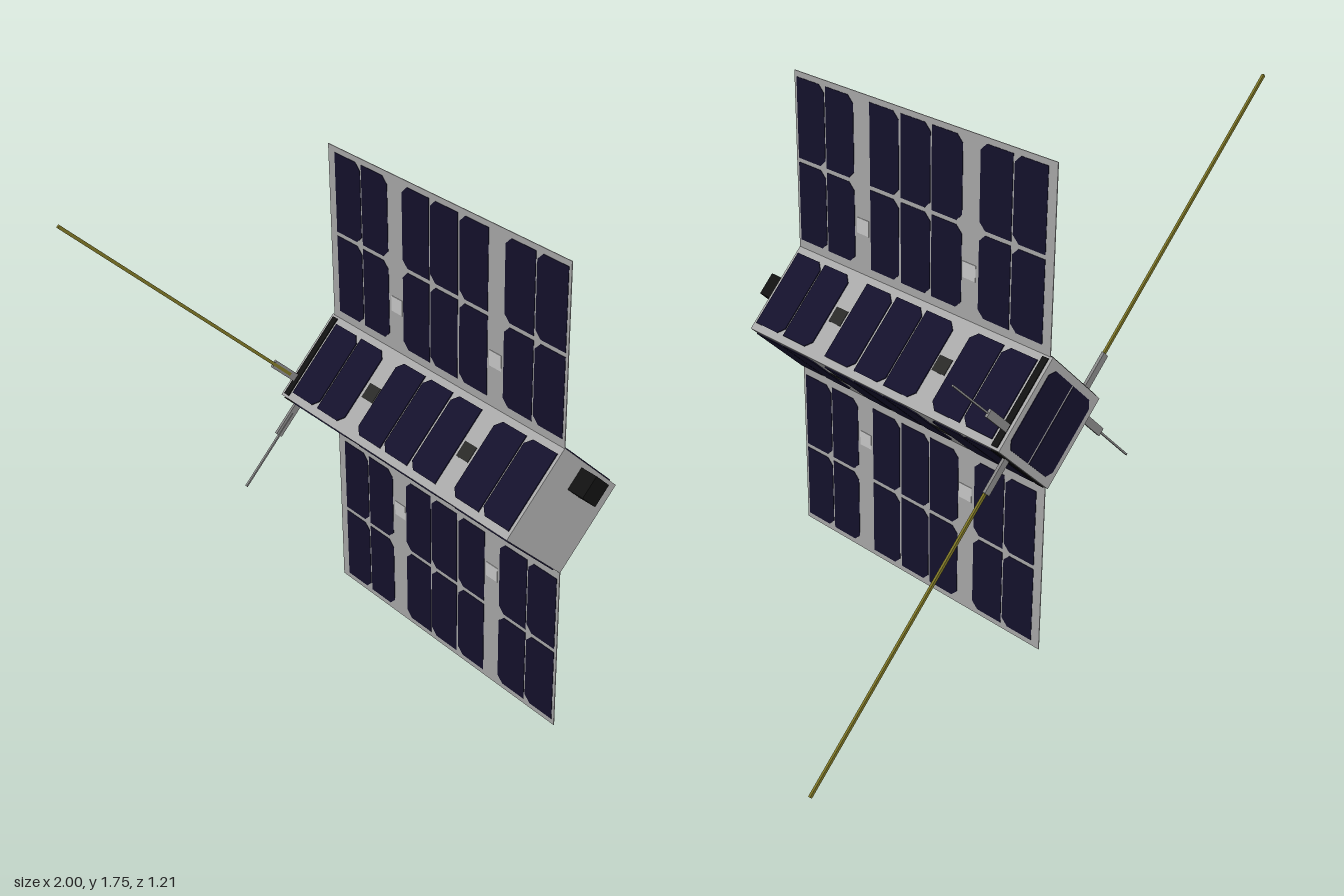
import * as THREE from 'three';

const HALF = 0.164; // half width of the square body
const mat = (color) => new THREE.MeshStandardMaterial({ color });
const grey = mat(0xcccccc), board = mat(0xaaaaaa), cellBlue = mat(0x14112c);
const black = mat(0x111111), dark = mat(0x2a2a28), brass = mat(0x7d7526), steel = mat(0x888888);

function box(parent, name, material, size, pos) {
  const mesh = new THREE.Mesh(new THREE.BoxGeometry(...size), material);
  mesh.name = name;
  mesh.position.set(...pos);
  parent.add(mesh);
  return mesh;
}

// Solar cell: thin plate with the two corners on its +x (or -x) side cut off
function cell(parent, w, h, depth, x, y, side = 1) {
  const c = 0.024, a = w / 2, b = h / 2;
  const points = [[-a, -b], [a - c, -b], [a, -b + c], [a, b - c], [a - c, b], [-a, b]];
  const shape = new THREE.Shape(points.map(([px, py]) => new THREE.Vector2(px * side, py)));
  const geometry = new THREE.ExtrudeGeometry(shape, { depth, bevelEnabled: false });
  const mesh = new THREE.Mesh(geometry, cellBlue);
  mesh.name = 'solarCell';
  mesh.position.set(x, y, 0);
  parent.add(mesh);
}

// Cell columns along the length: [z centre, cut side]
const columns = [
  [0.464, 1], [0.328, 1],
  [0.123, 1], [-0.016, 1], [-0.152, 1],
  [-0.355, -1], [-0.491, -1],
];

// Outward-facing frame, turned about the long axis; its x runs towards the back
function face(parent, name, angle, offset) {
  const turn = new THREE.Group();
  turn.rotation.z = angle;
  const frame = new THREE.Group();
  frame.name = name;
  frame.rotation.y = Math.PI / 2;
  frame.position.x = offset;
  turn.add(frame);
  parent.add(turn);
  return frame;
}

function cellRows(frame, rows, height, depth) {
  for (const y of rows)
    for (const [z, side] of columns) cell(frame, 0.13, height, depth, -z, y, side);
}

function pads(frame, y, material, depth) {
  for (const z of [0.225, -0.25])
    box(frame, 'contactPad', material, [0.055, 0.055, depth], [-z, y, depth / 2]);
}

export function createModel() {
  const model = new THREE.Group();
  model.name = 'satellite';
  model.position.y = 0.875;

  // Body, standing on its edge
  const body = new THREE.Group();
  body.name = 'body';
  body.rotation.z = -Math.PI / 4;
  model.add(body);
  box(body, 'bodyShell', board, [2 * HALF, 2 * HALF, 1.14], [0, 0, -0.03]);
  for (let i = 0; i < 4; i++) {
    const side = face(body, 'bodySide', i * Math.PI / 2, HALF);
    cellRows(side, [0], 0.276, 0.004);
    pads(side, 0, dark, 0.002);
    box(side, 'antennaSlot', black, [0.024, 0.31, 0.004], [0.577, 0, 0.002]);
  }

  // Camera on the front end
  box(body, 'camera', black, [0.08, 0.08, 0.07], [0, 0.106, 0.57]);

  // Two cells on the back end
  const back = new THREE.Group();
  back.name = 'backEnd';
  back.rotation.set(Math.PI, 0, Math.PI / 2);
  back.position.z = -0.6;
  body.add(back);
  for (const s of [-1, 1]) cell(back, 0.135, 0.276, 0.002, s * 0.072, 0, s);

  // Antennas: a long pair and a short pair, each from a flat hinge
  const antennas = [
    [0, 0.09, 1.32, brass, 0.011], [Math.PI, 0.09, 1.32, brass, 0.011],
    [Math.PI / 2, -0.088, 0.495, steel, 0.006], [-Math.PI / 2, -0.088, 0.495, steel, 0.006],
  ];
  for (const [angle, y, reach, material, width] of antennas) {
    const antenna = new THREE.Group();
    antenna.name = 'antenna';
    antenna.rotation.z = angle;
    body.add(antenna);
    box(antenna, 'antennaHinge', steel, [0.125, 0.028, 0.01], [0.225, y, -0.584]);
    box(antenna, 'antennaRod', material, [reach - 0.2, width, 0.008], [(reach + 0.2) / 2, y, -0.58]);
  }

  // Thin wings above and below, with cells on both sides
  const thick = 0.003;
  for (const s of [-1, 1])
    box(model, 'wing', board, [thick, 0.625, 1.13], [0, s * 0.5425, -0.025]);
  for (const angle of [0, Math.PI]) {
    const side = face(model, 'wingSide', angle, thick / 2);
    cellRows(side, [0.695, 0.4, -0.4, -0.695], 0.28, 0.0015);
    for (const s of [-1, 1]) pads(side, s * 0.4, grey, 0.0015);
  }

  const root = new THREE.Group();
  root.add(model);
  return root;
}
